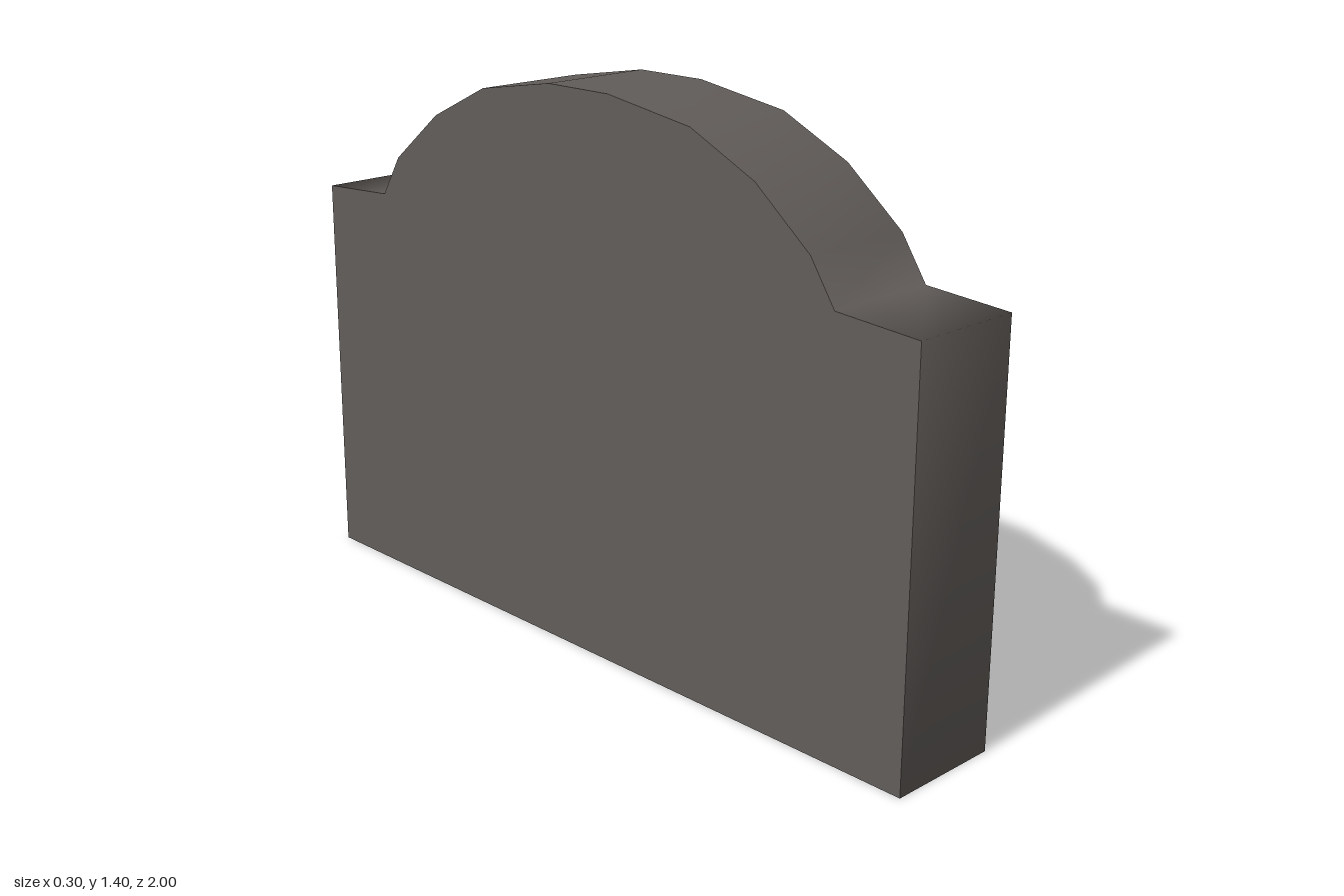
import * as THREE from 'three';

const HALF_WIDTH = 0.15;

// Outline as [z, y], from the foot of the front end over the arch to the foot of the back end
const OUTLINE = [
  [1, 0], [1, 1.02], [0.774, 1.035], [0.704, 1.14], [0.544, 1.27], [0.351, 1.36], [0.09, 1.4],
  [-0.112, 1.4], [-0.351, 1.36], [-0.538, 1.27], [-0.699, 1.14], [-0.764, 1.035], [-1, 1.02], [-1, 0],
];

// Smooth band round the ends and the arched top; the underside stays open
function rimGeometry() {
  const positions = [];
  const indices = [];
  OUTLINE.forEach(([z, y], i) => {
    positions.push(HALF_WIDTH, y, z, -HALF_WIDTH, y, z);
    if (i === OUTLINE.length - 1) return;
    const a = 2 * i;
    indices.push(a + 1, a, a + 2, a + 1, a + 2, a + 3);
  });
  const geometry = new THREE.BufferGeometry();
  geometry.setAttribute('position', new THREE.Float32BufferAttribute(positions, 3));
  geometry.setIndex(indices);
  geometry.computeVertexNormals();
  return geometry;
}

// Flat broad face on one side: +1 is left (+x), -1 is right (-x)
function faceGeometry(side) {
  const shape = new THREE.Shape(OUTLINE.map(([z, y]) => new THREE.Vector2(-side * z, y)));
  return new THREE.ShapeGeometry(shape)
    .rotateY(side * Math.PI / 2)
    .translate(side * HALF_WIDTH, 0, 0);
}

export function createModel() {
  const stone = new THREE.MeshStandardMaterial({ color: 0x625d5a, side: THREE.DoubleSide });
  stone.name = 'dark stone';

  const group = new THREE.Group();
  group.name = 'archedStoneSlab';
  const add = (name, geometry) => {
    const mesh = new THREE.Mesh(geometry, stone);
    mesh.name = name;
    group.add(mesh);
  };

  add('rim', rimGeometry());
  add('leftFace', faceGeometry(1));
  add('rightFace', faceGeometry(-1));
  return group;
}
